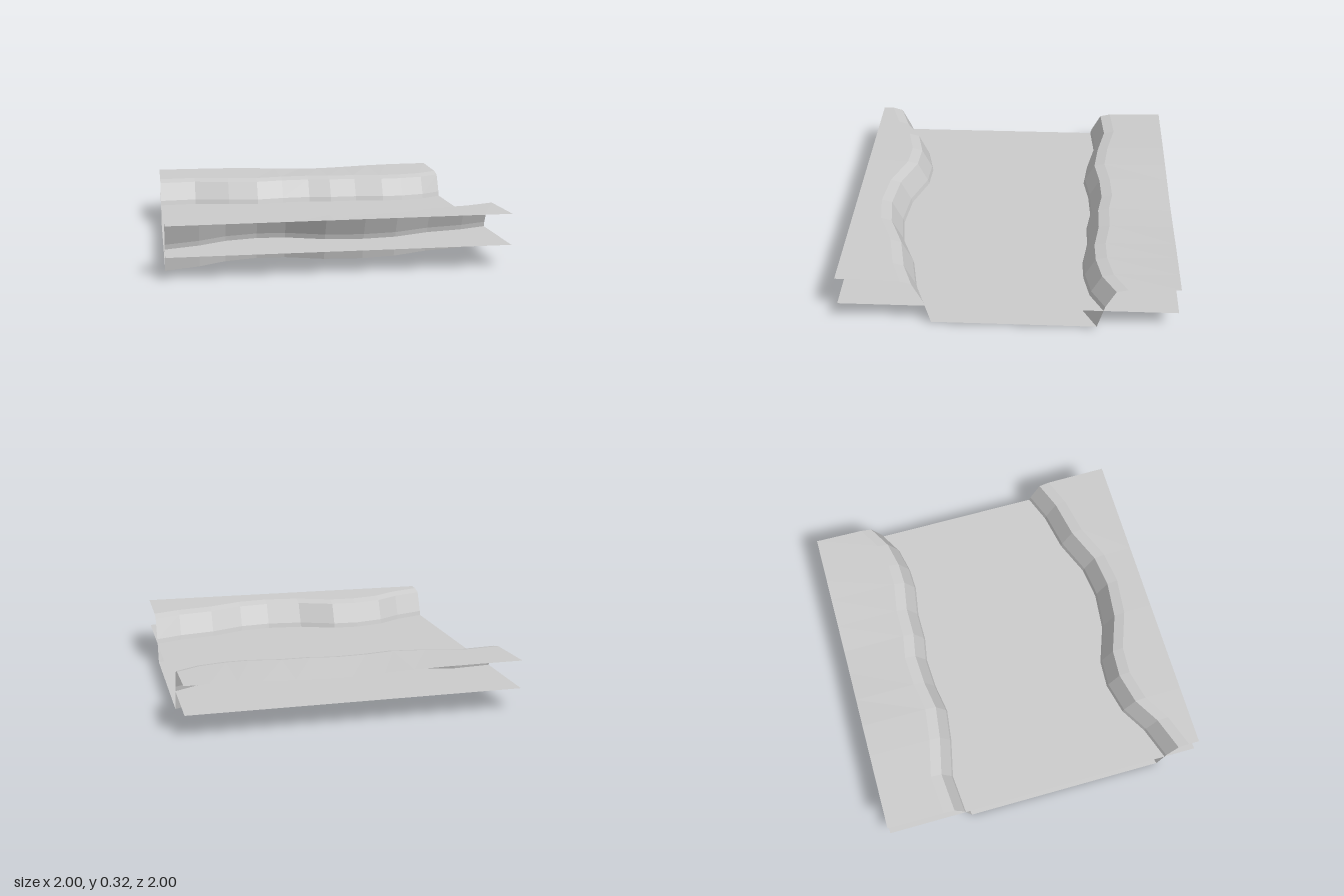
import * as THREE from 'three';

const WATER_Y = 0.135;

// Shorelines as [x, z] where the water meets each bank
const FRONT_SHORE = [[-1, 0.80], [-0.8, 0.73], [-0.64, 0.635], [-0.45, 0.59], [-0.28, 0.60], [-0.05, 0.685],
  [0.18, 0.71], [0.38, 0.685], [0.6, 0.595], [0.83, 0.55], [1, 0.485]];
const BACK_SHORE = [[-1, -0.51], [-0.76, -0.53], [-0.53, -0.48], [-0.33, -0.455], [-0.15, -0.485], [0.04, -0.495],
  [0.19, -0.47], [0.37, -0.47], [0.56, -0.44], [0.7, -0.445], [0.86, -0.48], [1, -0.56]];

// Bank cross-sections as [distance outward from the shore, y]
const FRONT_PROFILE = [[-0.033, null], [0.008, 0.165], [0.07, 0.295], [0.135, 0.313]];
const BACK_PROFILE = [[-0.033, null], [0.01, 0.165], [0.07, 0.28], [0.137, 0.296]];

const bedY = (x) => 0.006 + 0.006 * x;

function shoreZ(shore, x) {
  let i = 1;
  while (i < shore.length - 1 && shore[i][0] < x) i++;
  const [x0, z0] = shore[i - 1], [x1, z1] = shore[i];
  return z0 + (z1 - z0) * (x - x0) / (x1 - x0);
}

// Skin between rows of points; rows run from +z to -z, points from -x to +x
function sheet(name, rows) {
  const n = rows[0].length, index = [];
  for (let r = 0; r < rows.length - 1; r++) {
    for (let i = 0; i < n - 1; i++) {
      const a = r * n + i, b = a + 1, c = a + n, d = c + 1;
      index.push(a, b, d, a, d, c);
    }
  }
  const geometry = new THREE.BufferGeometry();
  geometry.setAttribute('position', new THREE.Float32BufferAttribute(rows.flat(2), 3));
  geometry.setIndex(index);
  geometry.computeVertexNormals();
  const material = new THREE.MeshStandardMaterial({ color: 0xcccccc, flatShading: true, side: THREE.DoubleSide });
  const mesh = new THREE.Mesh(geometry, material);
  mesh.name = name;
  return mesh;
}

// Sloping wall, rounded lip and level land out to the edge
function bank(name, shore, profile, side, edgeY) {
  const rows = profile.map(([out, y]) => shore.map(([x, z]) => [x, y ?? bedY(x), z + side * out]));
  rows.push(shore.map(([x]) => [x, edgeY(x), side]));
  return sheet(name, side > 0 ? rows.reverse() : rows);
}

export function createModel() {
  const group = new THREE.Group();
  group.name = 'riverSection';

  // Banks
  group.add(bank('frontBank', FRONT_SHORE, FRONT_PROFILE, 1, (x) => 0.317 + 0.003 * x));
  group.add(bank('backBank', BACK_SHORE, BACK_PROFILE, -1,
    (x) => 0.307 - 0.02 * Math.exp(-(((x - 0.12) / 0.4) ** 2))));

  // River bed between the feet of the banks
  const xs = [...new Set([...FRONT_SHORE, ...BACK_SHORE].map((p) => p[0]))].sort((a, b) => a - b);
  group.add(sheet('riverBed', [
    xs.map((x) => [x, bedY(x), shoreZ(FRONT_SHORE, x) - 0.033]),
    xs.map((x) => [x, bedY(x), shoreZ(BACK_SHORE, x) + 0.033]),
  ]));

  // Water surface across the whole square
  group.add(sheet('water', [1, -1].map((z) => [-1, 1].map((x) => [x, WATER_Y, z]))));

  return group;
}
